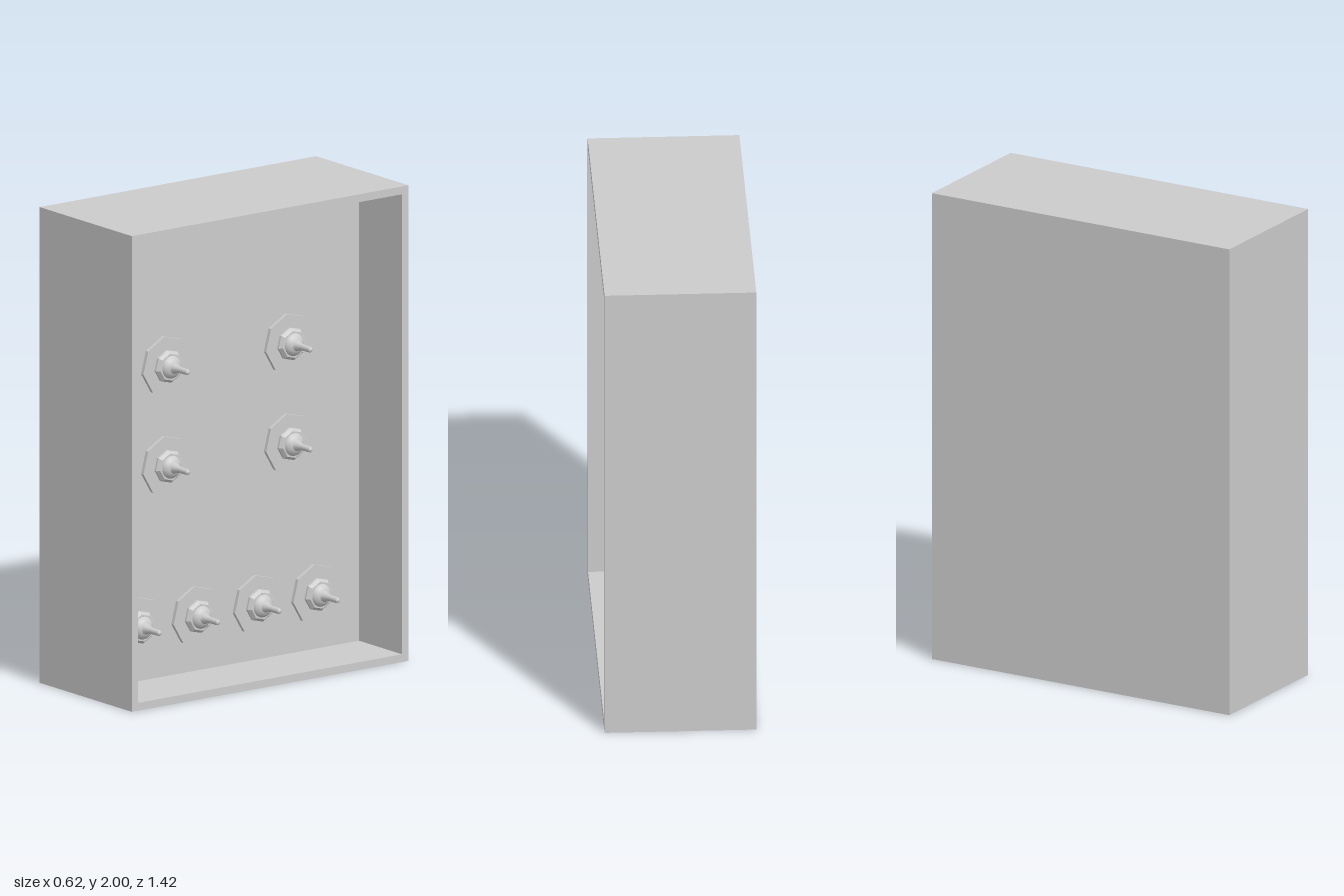
import * as THREE from 'three';

const grey = new THREE.MeshStandardMaterial({ color: 0xcccccc });
const greyFlat = new THREE.MeshStandardMaterial({ color: 0xcccccc, flatShading: true });

const W = 0.62, H = 2, D = 1.42, WALL = 0.033, PANEL_X = 0.02;

function part(name, geometry, material) {
  const mesh = new THREE.Mesh(geometry, material);
  mesh.name = name;
  return mesh;
}

function lathe(points, sides) {
  return new THREE.LatheGeometry(points.map(([r, y]) => new THREE.Vector2(r, y)), sides);
}

// Rectangle outline for the casing, w along z and h along y
function rect(Type, w, h) {
  return new Type([[-1, -1], [1, -1], [1, 1], [-1, 1]]
    .map(([x, y]) => new THREE.Vector2(x * w / 2, y * h / 2)));
}

// Switch standing along +y: faceted base plate and collar, dome, tapered lever
function createSwitch() {
  const group = new THREE.Group();
  group.name = 'toggleSwitch';

  const plate = new THREE.CylinderGeometry(0.127, 0.127, 0.016, 8).translate(0, 0.008, 0);
  group.add(part('basePlate', plate, greyFlat));

  const collar = lathe([[0.07, 0.016], [0.07, 0.026], [0.058, 0.04], [0.046, 0.04]], 8);
  group.add(part('collar', collar, greyFlat));

  const dome = new THREE.SphereGeometry(0.05, 20, 8, 0, Math.PI * 2, 0, Math.PI / 2);
  group.add(part('dome', dome.scale(1, 0.75, 1).translate(0, 0.03, 0), grey));

  const lever = lathe([[0.026, 0.058], [0.018, 0.075], [0.013, 0.1], [0.012, 0.148],
    [0.008, 0.154], [0, 0.156]], 12);
  group.add(part('lever', lever, grey));
  return group;
}

export function createModel() {
  const model = new THREE.Group();
  model.name = 'switchBox';

  // Casing: four walls, open towards +x
  const outline = rect(THREE.Shape, D, H);
  outline.holes.push(rect(THREE.Path, D - 2 * WALL, H - 2 * WALL));
  const casing = new THREE.ExtrudeGeometry(outline, { depth: W, bevelEnabled: false });
  casing.translate(0, 0, -W / 2).rotateY(Math.PI / 2).translate(0, H / 2, 0);
  model.add(part('casing', casing, greyFlat));

  // Thick panel that closes the back of the casing
  const depth = PANEL_X + W / 2;
  const panel = new THREE.BoxGeometry(depth, H - 2 * WALL, D - 2 * WALL);
  panel.translate(PANEL_X - depth / 2, H / 2, 0);
  model.add(part('mountingPanel', panel, greyFlat));

  // Two rows of two switches above one row of four
  const rows = [
    { y: 1.34, zs: [0.315, -0.315] },
    { y: 0.92, zs: [0.315, -0.315] },
    { y: 0.265, zs: [0.46, 0.16, -0.155, -0.455] },
  ];
  for (const { y, zs } of rows) {
    for (const z of zs) {
      const unit = createSwitch();
      unit.rotation.set(THREE.MathUtils.degToRad(8), 0, -Math.PI / 2);
      unit.position.set(PANEL_X, y, z);
      model.add(unit);
    }
  }
  return model;
}
